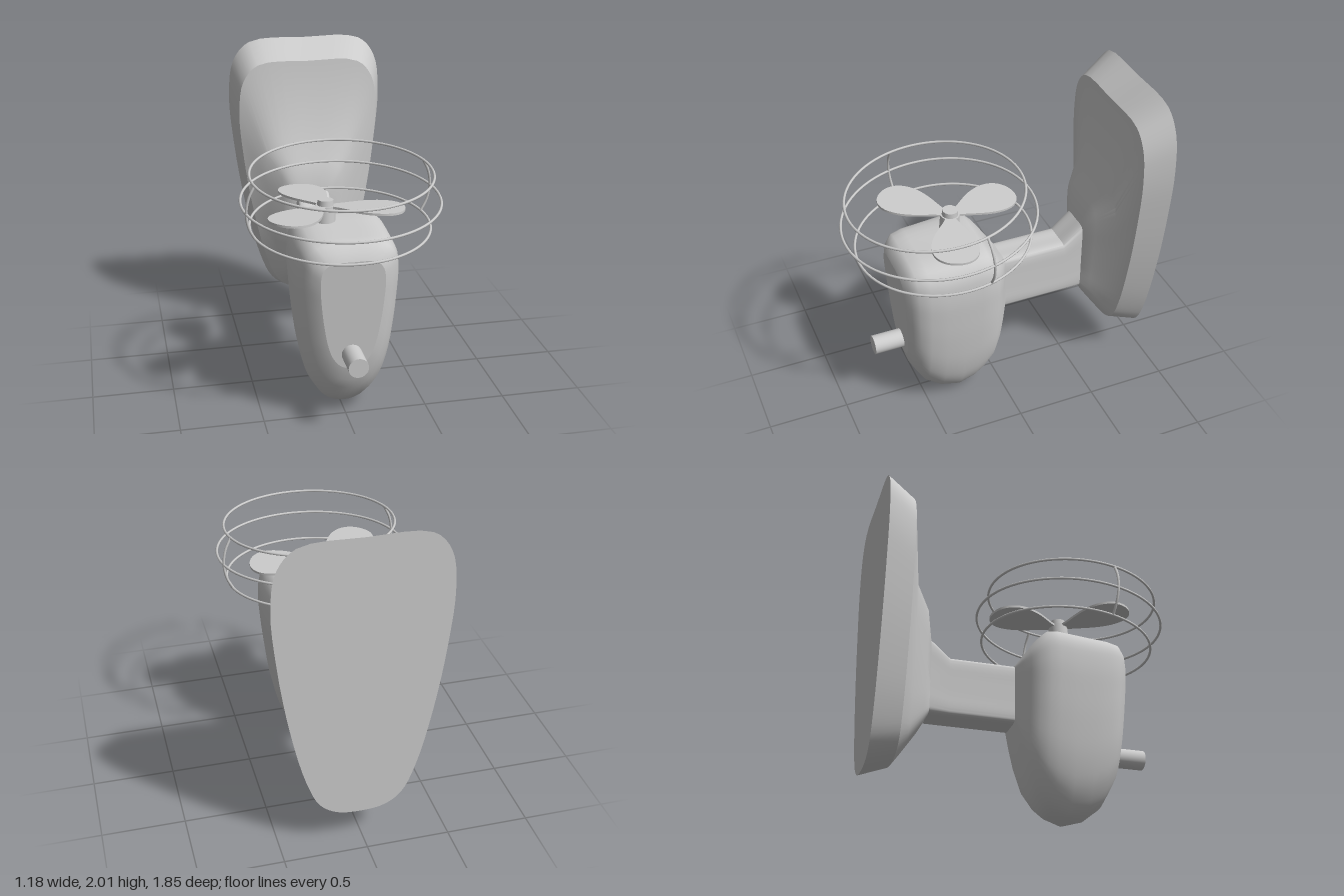
import * as THREE from 'three';
import { toCreasedNormals } from 'three/addons/utils/BufferGeometryUtils.js';

const grey = new THREE.MeshStandardMaterial({ color: 0xcccccc });

// Right halves of unit outlines, bottom centre to top centre: [half width, height]
const EGG = [[0, 0], [.35, .03], [.63, .13], [.8, .27], [.91, .46], [.97, .63], [1, .8], [.94, .92], [.72, .985], [0, 1]];
const SHIELD = [[0, 0], [.28, .01], [.48, .05], [.64, .15], [.82, .36], [.95, .6], [1, .8], [.93, .925], [.72, .99], [0, 1]];
const BLOCK = [[0, 0], [.7, 0], [.93, .03], [1, .12], [1, .35], [1, .65], [1, .88], [.93, .97], [.7, 1], [0, 1]];
const mix = (a, b, k) => a.map((p, i) => [p[0] + (b[i][0] - p[0]) * k, p[1] + (b[i][1] - p[1]) * k]);

const N = 72;

// Closed smooth outline, anticlockwise seen from the front; tilt leans it in z
function outline({ z, w, y0, y1, shape, x = 0.012, tilt = 0 }) {
  const mirrored = shape.slice(1, -1).reverse().map(([a, b]) => [-a, b]);
  const pts = [...shape, ...mirrored].map(([a, b]) => {
    const y = y0 + (y1 - y0) * b;
    return new THREE.Vector3(x + a * w, y, z + tilt * (y - 0.7));
  });
  const curve = new THREE.CatmullRomCurve3(pts, true, 'centripetal');
  return Array.from({ length: N }, (_, i) => curve.getPoint(i / N));
}

// Skin over outlines listed front to back, with flat caps at both ends
function loft(sections, crease) {
  const rings = sections.map(outline);
  const pos = [], index = [];
  const push = (p) => pos.push(p.x, p.y, p.z) / 3 - 1;
  rings.forEach((ring) => ring.forEach(push));
  for (let r = 0; r < rings.length - 1; r++) {
    for (let i = 0; i < N; i++) {
      const j = (i + 1) % N;
      const a = r * N + i, b = r * N + j, c = b + N, d = a + N;
      index.push(a, d, b, b, d, c);
    }
  }
  [[rings[0], false], [rings[rings.length - 1], true]].forEach(([ring, back]) => {
    const centre = new THREE.Vector3();
    ring.forEach((p) => centre.addScaledVector(p, 1 / N));
    const c = push(centre);
    const first = ring.map(push)[0];
    for (let i = 0; i < N; i++) {
      const a = first + i, b = first + (i + 1) % N;
      index.push(c, back ? b : a, back ? a : b);
    }
  });
  const g = new THREE.BufferGeometry();
  g.setAttribute('position', new THREE.Float32BufferAttribute(pos, 3));
  g.setIndex(index);
  g.computeVertexNormals();
  return crease ? toCreasedNormals(g, crease) : g;
}

function add(parent, name, geometry) {
  const m = new THREE.Mesh(geometry, grey);
  m.name = name;
  parent.add(m);
  return m;
}

export function createModel() {
  const model = new THREE.Group();
  model.name = 'wallFan';

  // Wall plate with a stepped boss
  add(model, 'wallPlate', loft([
    { z: -0.57, w: 0.11, y0: 0.575, y1: 1.05, shape: BLOCK },
    { z: -0.61, w: 0.2, y0: 0.5, y1: 1.23, shape: mix(SHIELD, BLOCK, 0.4) },
    { z: -0.695, w: 0.285, y0: 0.37, y1: 1.37, shape: mix(SHIELD, BLOCK, 0.2) },
    { z: -0.757, w: 0.455, y0: 0.28, y1: 1.88, shape: SHIELD, x: 0.018 },
    { z: -0.927, w: 0.505, y0: 0.22, y1: 2, shape: SHIELD, x: 0.024 },
  ], 0.5));

  // Arm, flared upward where it meets the plate
  add(model, 'arm', loft([
    { z: -0.03, w: 0.107, y0: 0.575, y1: 0.945, shape: BLOCK },
    { z: -0.45, w: 0.107, y0: 0.575, y1: 0.945, shape: BLOCK },
    { z: -0.58, w: 0.11, y0: 0.575, y1: 1.06, shape: BLOCK },
  ], 0.6));

  // Egg-shaped motor housing with a flat front panel
  add(model, 'housing', loft([
    { z: 0.622, w: 0.19, y0: 0.36, y1: 1.05, shape: mix(EGG, SHIELD, 0.3), tilt: 0.05 },
    { z: 0.6, w: 0.235, y0: 0.27, y1: 1.1, shape: EGG, tilt: 0.04 },
    { z: 0.562, w: 0.275, y0: 0.2, y1: 1.135, shape: EGG, tilt: 0.03 },
    { z: 0.5, w: 0.298, y0: 0.115, y1: 1.145, shape: EGG },
    { z: 0.4, w: 0.307, y0: 0.035, y1: 1.15, shape: EGG },
    { z: 0.28, w: 0.31, y0: 0, y1: 1.16, shape: EGG },
    { z: 0.18, w: 0.308, y0: 0.035, y1: 1.168, shape: EGG },
    { z: 0.12, w: 0.3, y0: 0.08, y1: 1.16, shape: EGG },
    { z: 0.06, w: 0.275, y0: 0.17, y1: 1.1, shape: mix(EGG, BLOCK, 0.1) },
    { z: 0.015, w: 0.225, y0: 0.31, y1: 1.035, shape: mix(EGG, BLOCK, 0.3) },
    { z: -0.02, w: 0.165, y0: 0.45, y1: 0.985, shape: mix(EGG, BLOCK, 0.6) },
    { z: -0.05, w: 0.11, y0: 0.575, y1: 0.945, shape: BLOCK },
  ]));

  // Front knob
  const knob = add(model, 'knob', new THREE.CylinderGeometry(0.06, 0.06, 0.22, 32));
  knob.rotation.x = Math.PI / 2;
  knob.position.set(0.01, 0.457, 0.685);

  // Rotor: shaft, hub cap and three teardrop blades
  const rotor = new THREE.Group();
  rotor.name = 'rotor';
  rotor.position.set(-0.07, 1.255, 0.235);
  rotor.rotation.set(-0.055, 0, -0.03);
  model.add(rotor);
  add(rotor, 'shaft', new THREE.CylinderGeometry(0.058, 0.062, 0.13, 32)).position.y = -0.065;
  add(rotor, 'hub', new THREE.CylinderGeometry(0.047, 0.05, 0.05, 32)).position.y = 0.008;

  const blade = new THREE.Shape();
  blade.moveTo(0.02, -0.025);
  blade.bezierCurveTo(0.1, -0.04, 0.2, -0.14, 0.33, -0.14);
  blade.bezierCurveTo(0.42, -0.14, 0.47, -0.08, 0.47, 0);
  blade.bezierCurveTo(0.47, 0.08, 0.42, 0.14, 0.33, 0.14);
  blade.bezierCurveTo(0.2, 0.14, 0.1, 0.04, 0.02, 0.025);
  const bladeGeo = toCreasedNormals(
    new THREE.ExtrudeGeometry(blade, { depth: 0.014, bevelEnabled: false, curveSegments: 14 }).rotateX(Math.PI / 2), 0.7);
  for (const angle of [-105, 15, 135]) {
    add(rotor, 'blade', bladeGeo).rotation.y = -THREE.MathUtils.degToRad(angle);
  }

  // Tilted guard: three rings joined by two bowed bars
  const guard = new THREE.Group();
  guard.name = 'guard';
  guard.position.set(0.002, 1.321, 0.33);
  guard.rotation.x = 0.068;
  model.add(guard);
  for (const [y, r] of [[0.166, 0.53], [0, 0.582], [-0.164, 0.53]]) {
    const ring = add(guard, 'guardRing', new THREE.TorusGeometry(r, 0.008, 8, 80));
    ring.rotation.x = Math.PI / 2;
    ring.position.set(0, y, y * 0.06);
  }
  for (const angle of [168, -12]) {
    const a = THREE.MathUtils.degToRad(angle);
    const bow = [[0.166, 0.53], [0.09, 0.567], [0, 0.582], [-0.09, 0.567], [-0.164, 0.53]]
      .map(([y, r]) => new THREE.Vector3(r * Math.cos(a), y, r * Math.sin(a)));
    add(guard, 'guardBar', new THREE.TubeGeometry(new THREE.CatmullRomCurve3(bow), 20, 0.008, 8));
  }

  return model;
}
